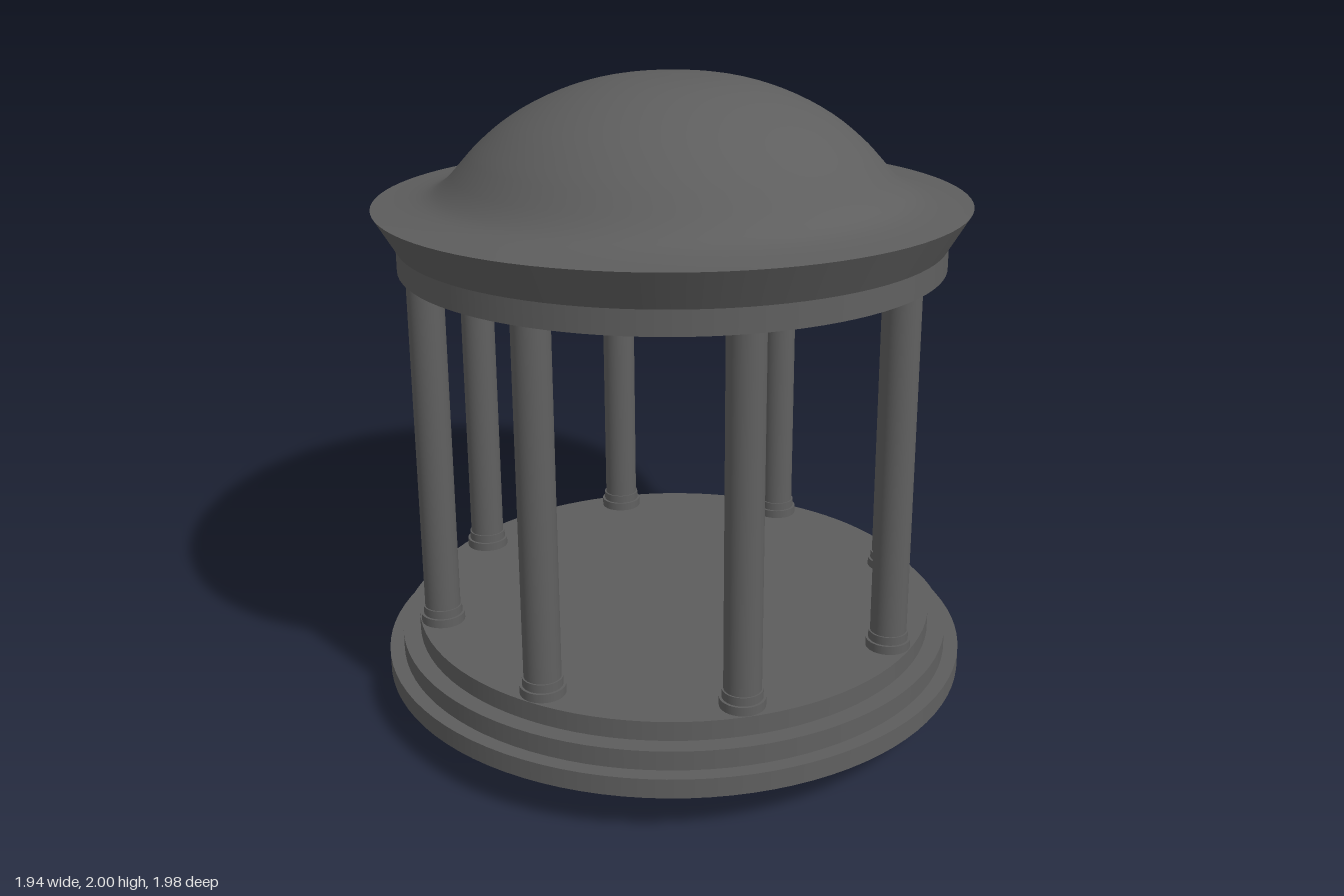
import * as THREE from 'three';

const stone = new THREE.MeshStandardMaterial({ color: 0x5e5e5e });
stone.name = 'darkStone';

// Revolved part: each profile run is smooth, edges between runs stay sharp.
// Runs go bottom to top on outer surfaces.
function revolve(name, runs, segments = 96) {
  const group = new THREE.Group();
  group.name = name;
  for (const run of runs) {
    const points = run.map(([r, y]) => new THREE.Vector2(r, y));
    const profile = points.length > 2 ? new THREE.SplineCurve(points).getPoints(32) : points;
    profile.forEach((p) => { p.x = Math.max(p.x, 0); });
    const mesh = new THREE.Mesh(new THREE.LatheGeometry(profile, segments), stone);
    mesh.name = name + 'Surface';
    group.add(mesh);
  }
  return group;
}

function cylinder(name, radius, bottom, top, segments) {
  const mesh = new THREE.Mesh(
    new THREE.CylinderGeometry(radius, radius, top - bottom, segments), stone);
  mesh.name = name;
  mesh.position.y = (bottom + top) / 2;
  return mesh;
}

export function createModel() {
  const model = new THREE.Group();
  model.name = 'rotunda';

  // Whole building leans slightly to the back and to +x
  const building = new THREE.Group();
  building.name = 'leaningBuilding';
  building.position.set(-0.015, 0.075, 0.033);
  building.quaternion.setFromUnitVectors(
    new THREE.Vector3(0, 1, 0), new THREE.Vector3(0.038, 1, -0.068).normalize());
  model.add(building);

  // Three round steps
  const step = 0.062;
  [0.957, 0.91, 0.853].forEach((r, i) =>
    building.add(cylinder('step' + (i + 1), r, i * step, (i + 1) * step, 96)));
  const floor = 3 * step;

  // Eight columns, each on two base rings
  for (let i = 0; i < 8; i++) {
    const angle = THREE.MathUtils.degToRad(-17.5 + 45 * i);
    const column = new THREE.Group();
    column.name = 'column' + (i + 1);
    column.position.set(0.78 * Math.sin(angle), 0, 0.78 * Math.cos(angle));
    column.add(
      cylinder('baseRing', 0.07, floor - 0.01, floor + 0.028, 32),
      cylinder('neckRing', 0.062, floor + 0.028, floor + 0.055, 32),
      cylinder('shaft', 0.057, floor + 0.055, 1.35, 32));
    building.add(column);
  }

  // Ring beam with flared cornice, hollow inside
  building.add(revolve('ringBeam', [
    [[0.74, 1.53], [0.74, 1.345]],
    [[0.74, 1.345], [0.858, 1.345]],
    [[0.858, 1.345], [0.858, 1.42]],
    [[0.858, 1.42], [0.928, 1.538]],
  ]));

  // Dome sweeping out to the cornice rim
  building.add(revolve('dome', [[
    [0.928, 1.538], [0.835, 1.547], [0.755, 1.565], [0.7, 1.603], [0.65, 1.658],
    [0.6, 1.711], [0.52, 1.777], [0.425, 1.833], [0.32, 1.877], [0.215, 1.905],
    [0.11, 1.918], [0, 1.922],
  ]]));

  // Ceiling inside the dome, with a narrow ledge at its foot
  building.add(revolve('ceiling', [
    [[0, 1.88], [0.2, 1.865], [0.4, 1.8], [0.55, 1.705], [0.64, 1.61], [0.69, 1.53]],
    [[0.69, 1.53], [0.74, 1.53]],
  ]));

  return model;
}
